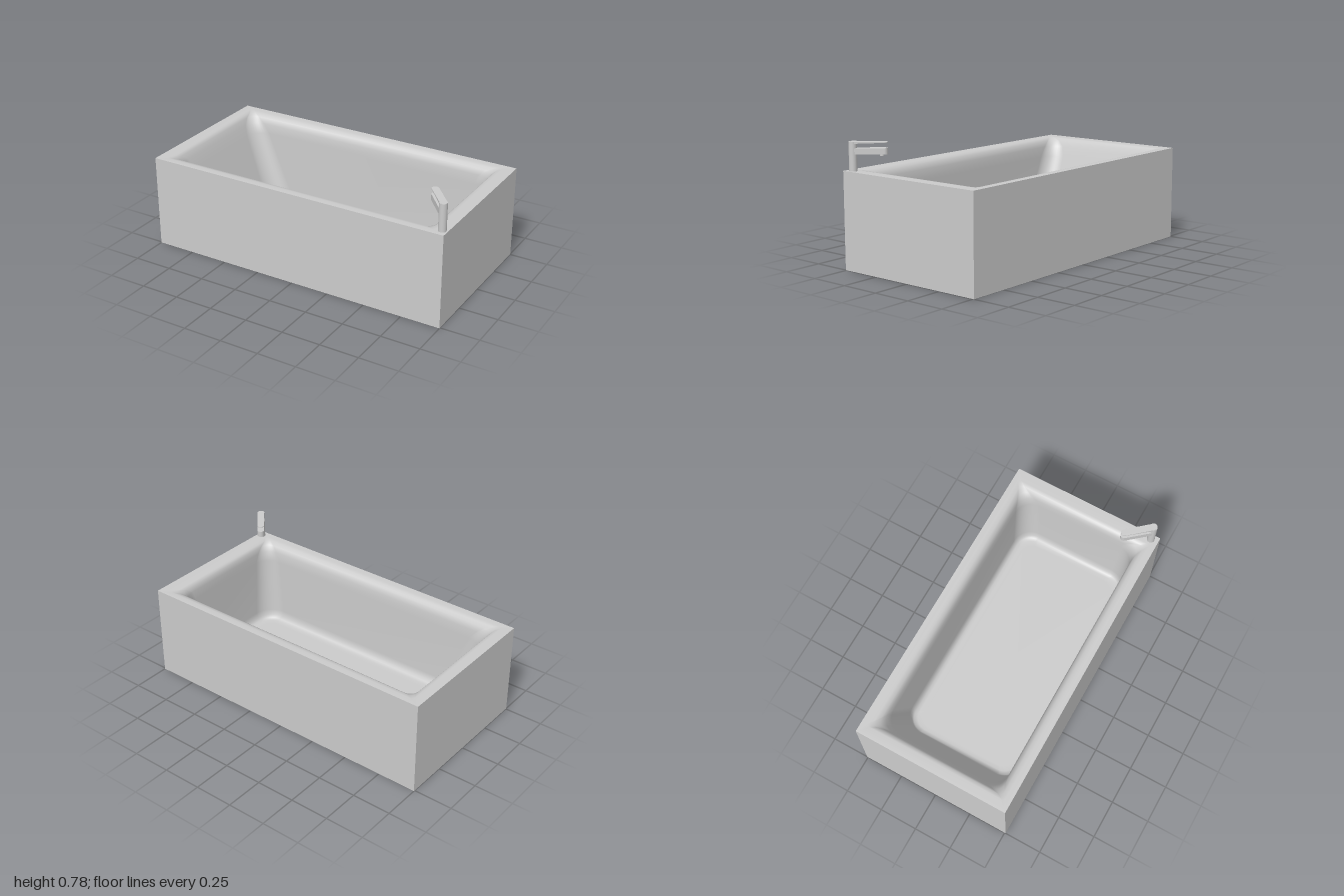
import * as THREE from 'three';

const H = 0.6, HALF_X = 1, HALF_Z = 0.507, CORNER = 10;

// Outline of a rounded rectangle, symmetric in z, as [x, z] points
function outline(x0, x1, hz, r) {
  const pts = [];
  for (let q = 0; q < 4; q++) {
    const cx = q === 0 || q === 3 ? x1 - r : x0 + r;
    const cz = q < 2 ? hz - r : r - hz;
    for (let i = 0; i <= CORNER; i++) {
      const a = (q + i / CORNER) * Math.PI / 2;
      pts.push([cx + r * Math.cos(a), cz + r * Math.sin(a)]);
    }
  }
  return pts;
}

// Cross-sections from the outer rim edge down to the floor:
// y, left x, right x, half depth, corner radius
const SECTIONS = [
  [0.600, -HALF_X, HALF_X, HALF_Z, 0.001],
  [0.600, -0.940, 0.930, 0.468, 0.02],
  [0.596, -0.919, 0.905, 0.444, 0.03],
  [0.580, -0.905, 0.889, 0.421, 0.06],
  [0.545, -0.888, 0.881, 0.408, 0.09],
  [0.480, -0.862, 0.880, 0.405, 0.11],
  [0.100, -0.722, 0.872, 0.402, 0.13],
  [0.065, -0.709, 0.862, 0.393, 0.12],
  [0.046, -0.697, 0.850, 0.379, 0.10],
  [0.040, -0.675, 0.832, 0.358, 0.09],
  [0.040, -0.645, 0.802, 0.328, 0.08],
];

// Rim and basin as one smooth skin, closed by the floor
function basinGeometry() {
  const pos = [], idx = [];
  for (const [y, ...dims] of SECTIONS)
    for (const [x, z] of outline(...dims)) pos.push(x, y, z);
  const n = 4 * (CORNER + 1), last = SECTIONS.length - 1;
  const centre = pos.length / 3;
  pos.push(0.08, SECTIONS[last][0], 0);
  for (let j = 0; j < n; j++) {
    const k = (j + 1) % n;
    for (let i = 0; i < last; i++) {
      const o = i * n, p = o + n;
      idx.push(p + j, o + k, o + j, p + j, p + k, o + k);
    }
    idx.push(centre, last * n + k, last * n + j);
  }
  const g = new THREE.BufferGeometry();
  g.setAttribute('position', new THREE.Float32BufferAttribute(pos, 3));
  g.setIndex(idx);
  g.computeVertexNormals();
  return g;
}

// Bar with rounded ends, running along +x from the origin, standing on y = 0
function barGeometry(length, r, height) {
  const s = new THREE.Shape();
  s.absarc(length, 0, r, -Math.PI / 2, Math.PI / 2, false);
  s.absarc(0, 0, r, Math.PI / 2, Math.PI * 1.5, false);
  s.closePath();
  return new THREE.ExtrudeGeometry(s, { depth: height, bevelEnabled: false, curveSegments: 16 })
    .rotateX(-Math.PI / 2);
}

export function createModel() {
  const model = new THREE.Group();
  const mat = new THREE.MeshStandardMaterial({ color: 0xcccccc, side: THREE.DoubleSide });
  const add = (parent, name, geometry, x = 0, y = 0, z = 0) => {
    const mesh = new THREE.Mesh(geometry, mat);
    mesh.name = name;
    mesh.position.set(x, y, z);
    parent.add(mesh);
  };

  // Outer casing: a box without its top face
  const box = new THREE.BoxGeometry(2 * HALF_X, H, 2 * HALF_Z);
  box.setIndex([...box.index.array].filter((_, i) => i < 12 || i >= 18));
  box.clearGroups();
  add(model, 'casing', box, 0, H / 2, 0);

  add(model, 'basin', basinGeometry());

  // Tap on the front left corner, pointing diagonally into the basin
  const tap = new THREE.Group();
  tap.name = 'tap';
  tap.position.set(0.967, H, 0.456);
  tap.rotation.y = Math.atan2(0.141, -0.12);
  model.add(tap);
  const reach = 0.184, r = 0.022;
  add(tap, 'tapColumn', new THREE.CylinderGeometry(0.0245, 0.0245, 0.175, 32), 0, 0.0875, 0);
  add(tap, 'spout', barGeometry(reach, r, 0.037), 0, 0.1, 0);
  add(tap, 'nozzle', new THREE.CylinderGeometry(0.012, 0.012, 0.012, 24), reach - 0.014, 0.096, 0);
  // Thin lever, thicker at the column and tapering to its tip
  const lever = barGeometry(reach, r, 0.01);
  const p = lever.attributes.position;
  for (let i = 0; i < p.count; i++) {
    const t = THREE.MathUtils.clamp(p.getX(i) / reach, 0, 1);
    p.setY(i, p.getY(i) > 0.005 ? 0.0125 - 0.003 * t : 0.005 * t);
  }
  lever.computeVertexNormals();
  add(tap, 'lever', lever, 0, 0.1635, 0);

  return model;
}
